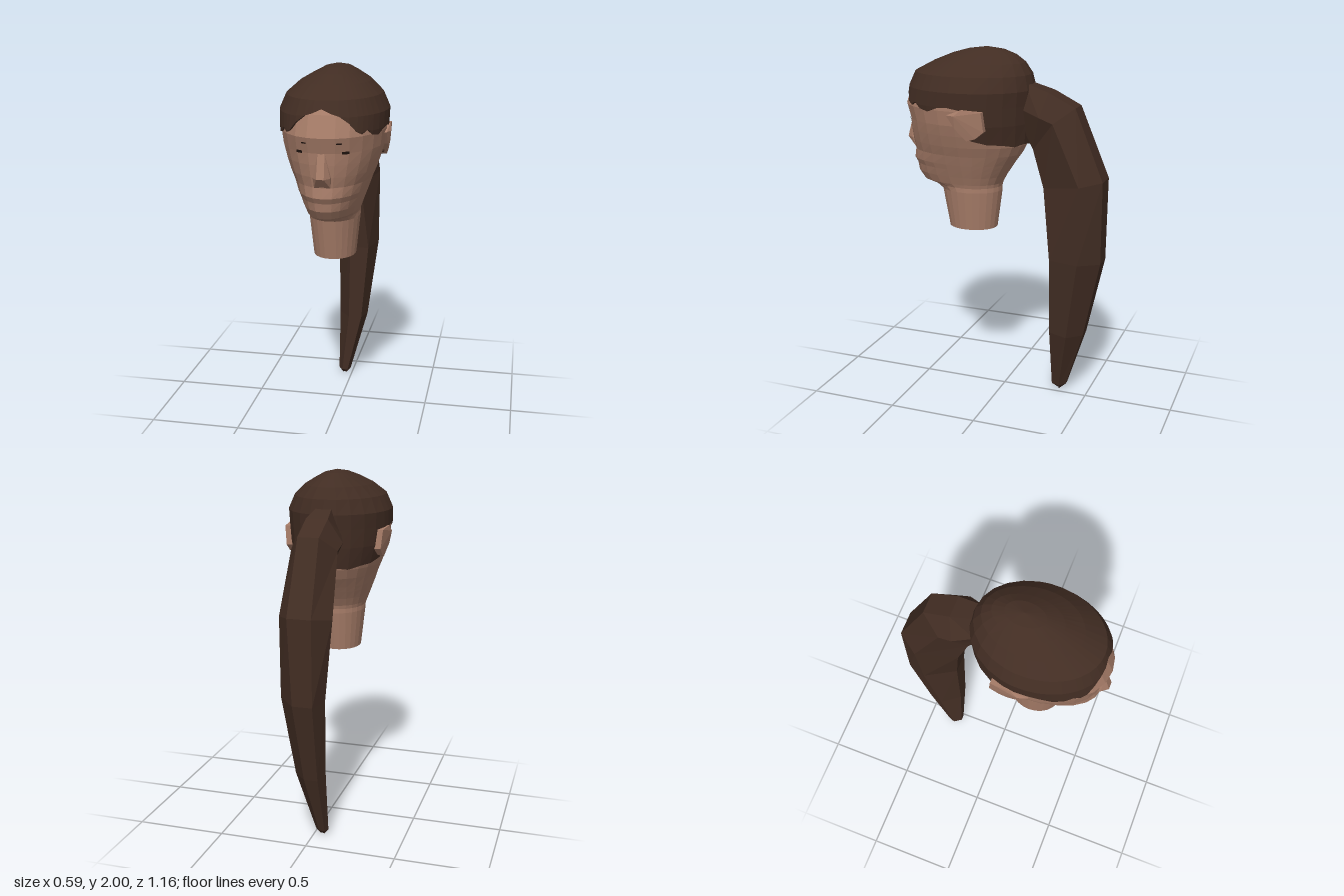
import * as THREE from 'three';
import { ConvexGeometry } from 'three/addons/geometries/ConvexGeometry.js';

const mat = (name, color) => {
  const m = new THREE.MeshStandardMaterial({ color });
  m.name = name;
  return m;
};
const V = (x, y, z) => new THREE.Vector3(x, y, z);

// Faceted skin over rings listed from bottom to top (counter-clockwise from above)
function loft(rings) {
  const n = rings[0].length, pos = [], idx = [];
  const add = (p) => pos.push(p.x, p.y, p.z);
  rings.forEach((r) => r.forEach(add));
  for (let i = 0; i < rings.length - 1; i++) {
    for (let j = 0; j < n; j++) {
      const k = (j + 1) % n, a = i * n + j, b = i * n + k;
      idx.push(a, b, b + n, a, b + n, a + n);
    }
  }
  const g = new THREE.BufferGeometry();
  g.setAttribute('position', new THREE.Float32BufferAttribute(pos, 3));
  g.setIndex(idx);
  const flat = g.toNonIndexed();
  flat.computeVertexNormals();
  return flat;
}

// Egg-shaped section: row = [y, halfWidth, zFront, zBack, zWidest]
function eggPoint([y, w, zf, zb, zc], angle) {
  const c = Math.cos(angle);
  return V(w * Math.sin(angle), y, zc + (c > 0 ? zf - zc : zc - zb) * c);
}

// Row at height y, interpolated between listed rows
function rowAt(rows, y) {
  let i = 0;
  while (i < rows.length - 2 && rows[i + 1][0] < y) i++;
  const a = rows[i], b = rows[i + 1];
  const t = THREE.MathUtils.clamp((y - a[0]) / (b[0] - a[0]), 0, 1);
  return a.map((v, k) => (k === 0 ? y : v + (b[k] - v) * t));
}

const HEAD = [
  [0.98, 0, 0.2, 0.2, 0.2],
  [0.98, 0.115, 0.33, 0.05, 0.19],
  [1.2, 0.138, 0.37, 0.02, 0.19],
  [1.225, 0.137, 0.41, 0.02, 0.19],
  [1.245, 0.142, 0.485, 0.015, 0.19],
  [1.29, 0.158, 0.517, -0.01, 0.19],
  [1.335, 0.175, 0.523, -0.04, 0.19],
  [1.365, 0.186, 0.54, -0.06, 0.19],
  [1.42, 0.205, 0.53, -0.1, 0.19],
  [1.475, 0.228, 0.54, -0.128, 0.19],
  [1.54, 0.25, 0.547, -0.143, 0.19],
  [1.6, 0.267, 0.55, -0.148, 0.19],
  [1.68, 0.277, 0.572, -0.153, 0.19],
  [1.79, 0.27, 0.53, -0.155, 0.18],
  [1.86, 0.23, 0.48, -0.135, 0.18],
  [1.93, 0.13, 0.33, -0.06, 0.14],
  [1.97, 0, 0.1, 0.1, 0.1],
];

const HAIR = [
  [1.48, 0.243, 0.55, -0.148, 0.19],
  [1.6, 0.276, 0.56, -0.16, 0.19],
  [1.7, 0.285, 0.575, -0.164, 0.19],
  [1.78, 0.288, 0.552, -0.17, 0.18],
  [1.86, 0.252, 0.515, -0.152, 0.18],
  [1.92, 0.185, 0.4, -0.115, 0.16],
  [1.96, 0.115, 0.3, -0.065, 0.13],
  [1.985, 0.065, 0.21, 0, 0.1],
  [2, 0, 0.1, 0.1, 0.1],
];

// Hairline: [degrees from the front, height]
const HAIRLINE = [
  [0, 1.82], [9, 1.8], [18, 1.785], [28, 1.75], [37, 1.705], [43, 1.69], [49, 1.71], [56, 1.68], [65, 1.67],
  [75, 1.695], [85, 1.7], [95, 1.69], [98, 1.54], [106, 1.52], [120, 1.5], [135, 1.495], [150, 1.48], [165, 1.49], [180, 1.48],
];

// Ponytail: [y front, z front, y middle, z middle, y back, z back, centre x, half width, twist]
const TAIL = [
  [0.01, -0.325, 0.005, -0.33, 0.01, -0.335, -0.045, 0.01, 0],
  [0.04, -0.29, 0.035, -0.335, 0.04, -0.37, -0.045, 0.036, 0.008],
  [0.4, -0.295, 0.39, -0.4, 0.39, -0.48, 0, 0.086, 0.025],
  [0.85, -0.3, 0.85, -0.47, 0.84, -0.577, 0.018, 0.123, 0.03],
  [1.25, -0.25, 1.29, -0.47, 1.31, -0.582, 0, 0.145, 0],
  [1.46, -0.185, 1.62, -0.315, 1.7, -0.42, 0, 0.127, 0],
  [1.53, -0.15, 1.65, -0.24, 1.775, -0.27, 0, 0.133, 0],
  [1.56, -0.1, 1.68, -0.13, 1.82, -0.13, 0, 0.09, 0],
];

export function createModel() {
  const group = new THREE.Group();
  const skin = mat('skin', 0xa67c68);
  const hair = mat('hair', 0x422d23);
  const dark = mat('eye dark', 0x20140f);
  const add = (name, geometry, material) => {
    const m = new THREE.Mesh(geometry, material);
    m.name = name;
    group.add(m);
    return m;
  };

  // Head and neck
  const angles = Array.from({ length: 24 }, (_, j) => (j / 24) * Math.PI * 2);
  const head = add('headAndNeck', loft(HEAD.map((row) => angles.map((a) => eggPoint(row, a)))), skin);

  // Nose wedge
  const nose = [];
  for (const s of [-1, 1]) {
    nose.push(V(s * 0.018, 1.6, 0.548), V(s * 0.02, 1.475, 0.582), V(s * 0.045, 1.475, 0.545),
      V(s * 0.042, 1.42, 0.525), V(s * 0.05, 1.48, 0.5), V(s * 0.02, 1.6, 0.5));
  }
  add('nose', new ConvexGeometry(nose), skin);

  // Eyes and brows: thin plates laid on the face
  const ray = new THREE.Raycaster();
  head.updateMatrixWorld();
  const plate = (name, x, y, w, h) => {
    const g = new THREE.PlaneGeometry(w, h, 4, 1).translate(x, y, 0);
    const p = g.attributes.position;
    for (let i = 0; i < p.count; i++) {
      ray.set(V(p.getX(i), p.getY(i), 2), V(0, 0, -1));
      const hit = ray.intersectObject(head)[0];
      p.setZ(i, (hit ? hit.point.z : 0.5) + 0.005);
    }
    g.computeVertexNormals();
    add(name, g, dark);
  };
  for (const [side, s] of [['left', 1], ['right', -1]]) {
    plate(side + 'Eye', s * 0.118, 1.603, 0.034, 0.014);
    plate(side + 'Brow', s * 0.09, 1.652, 0.028, 0.007);

    // Ear: flat wedge following the side of the head
    const ear = [];
    for (const [z, y, out] of [[0.23, 1.66, 0.281], [0.18, 1.66, 0.297], [0.14, 1.695, 0.289], [0.03, 1.685, 0.282],
      [0.02, 1.58, 0.272], [0.07, 1.54, 0.27], [0.12, 1.525, 0.268], [0.18, 1.59, 0.283]]) {
      ear.push(V(s * out, y, z), V(s * 0.225, y, z));
    }
    add(side + 'Ear', new ConvexGeometry(ear), skin);
  }

  // Hair cap from the jagged hairline up to the crown, with a tucked-in rim
  const columns = [...HAIRLINE, ...HAIRLINE.slice(1, -1).reverse().map(([d, y]) => [360 - d, y])];
  const capRing = (level) => columns.map(([d, y]) =>
    eggPoint(rowAt(HAIR, Math.max(y, level)), THREE.MathUtils.degToRad(d)));
  const rim = capRing(0).map((p) => V(p.x * 0.92, p.y, 0.18 + (p.z - 0.18) * 0.92));
  add('hairCap', loft([rim, capRing(0), ...HAIR.slice(1).map((row) => capRing(row[0]))]), hair);

  // Ponytail with a six-sided section
  add('ponytail', loft(TAIL.map(([yf, zf, ym, zm, yb, zb, c, w, t]) => [
    V(c + t + w * 0.45, yf, zf), V(c + w, ym, zm), V(c - t + w * 0.45, yb, zb),
    V(c - t - w * 0.45, yb, zb), V(c - w, ym, zm), V(c + t - w * 0.45, yf, zf),
  ])), hair);

  return group;
}
